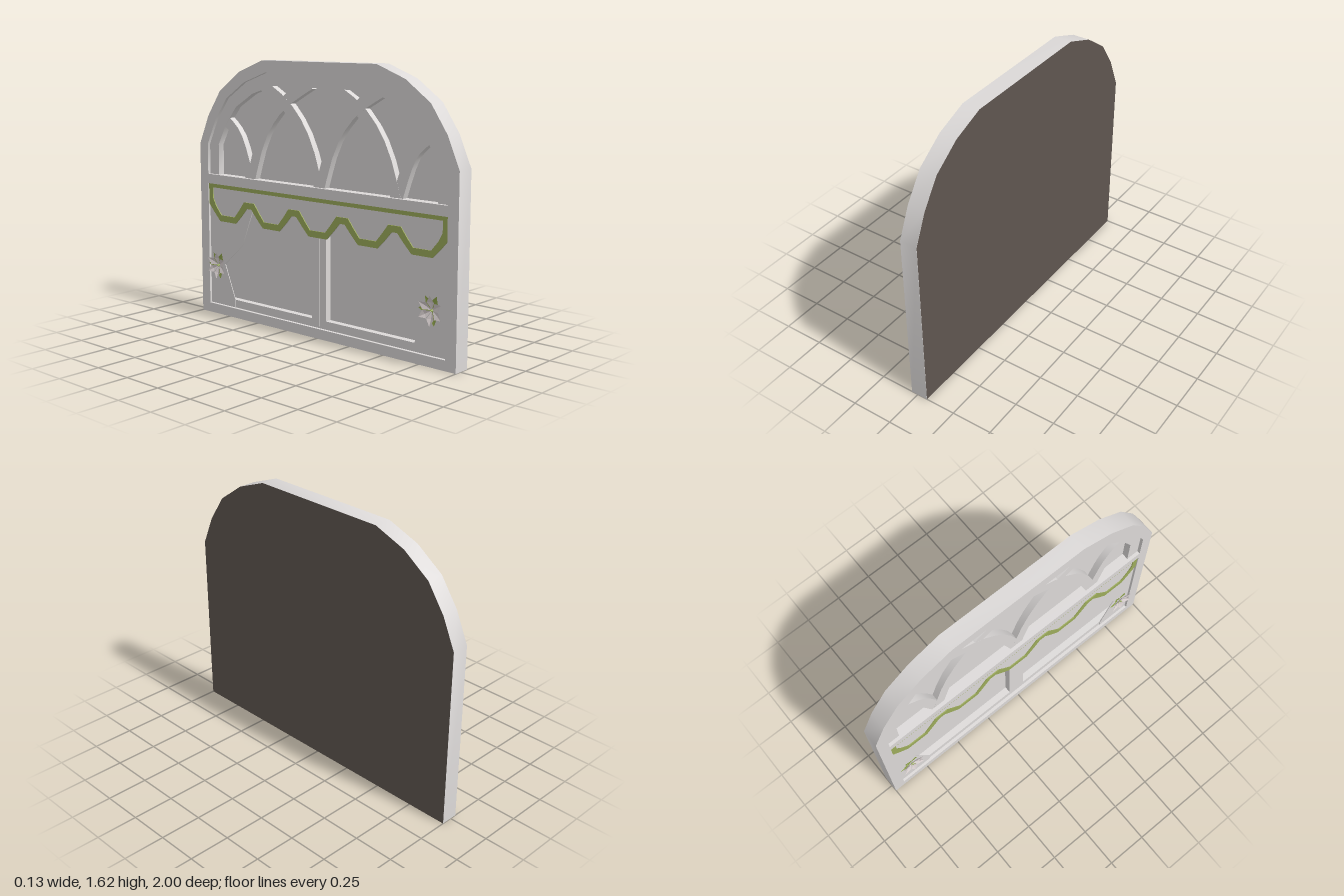
import * as THREE from 'three';
import { toCreasedNormals } from 'three/addons/utils/BufferGeometryUtils.js';

const mat = (name, color, side = THREE.FrontSide) => {
  const m = new THREE.MeshStandardMaterial({ color, side });
  m.name = name;
  return m;
};

// Depth levels along x; the detailed face looks toward -x
const FRONT = -0.042, SASH = -0.022, GLASS = 0.02, BACK = 0.064;

const v2 = (pts) => pts.map(([z, y]) => new THREE.Vector2(z, y));
const mirror = (pts) => pts.map(([z, y]) => [-z, y]);

function makeShape(outline, holes = []) {
  const s = new THREE.Shape(v2(outline));
  for (const h of holes) s.holes.push(new THREE.Path(v2(h)));
  return s;
}

// Flat part drawn in (z, y), spanning x from back to front
function plate(name, material, shape, back, front) {
  const geo = new THREE.ExtrudeGeometry(shape, { depth: back - front, bevelEnabled: false });
  const mesh = new THREE.Mesh(toCreasedNormals(geo, 0.6), material);
  mesh.rotation.y = -Math.PI / 2;
  mesh.position.x = back;
  mesh.name = name;
  return mesh;
}

// Arched outline, inset by t, starting at the given base height
function arch(t, base) {
  const half = [[1, 1.09], [0.92, 1.27], [0.81, 1.43], [0.64, 1.55], [0.44, 1.625]]
    .map(([z, y]) => [z * (1 - t), 1.09 + (y - 1.09) * (1 - t / 0.535)]);
  half.unshift([1 - t, base]);
  return [...half, ...mirror(half).reverse()];
}

const rect = (z0, y0, z1, y1) => [[z0, y0], [z1, y0], [z1, y1], [z0, y1]];

// Curved glazing bar: a ribbon of constant width along a path
function ribbon(path, width) {
  const pts = new THREE.SplineCurve(v2(path)).getPoints(8);
  const left = [], right = [];
  pts.forEach((p, i) => {
    const a = pts[Math.max(i - 1, 0)], b = pts[Math.min(i + 1, pts.length - 1)];
    const d = b.clone().sub(a).normalize().multiplyScalar(width / 2);
    left.push([p.x - d.y, p.y + d.x]);
    right.push([p.x + d.y, p.y - d.x]);
  });
  return makeShape([...right, ...left.reverse()]);
}

// Valance outline with five scallops
function valance(inset) {
  const edge = 0.93 - inset;
  const pts = [[edge, 0.84 - inset * 0.7], [-edge, 0.84 - inset * 0.7]];
  const scallop = [[-0.17, 0.71], [-0.125, 0.66], [-0.07, 0.605], [0.07, 0.605], [0.125, 0.66], [0.17, 0.71]];
  for (let k = -2; k <= 2; k++) {
    for (const [z, y] of scallop) {
      const zz = k * 0.38 + z * (1 - inset * 4);
      pts.push([THREE.MathUtils.clamp(zz, -edge, edge), y + inset * 1.1]);
    }
  }
  return pts;
}

// Folded pointed petals fanned around a centre; local z points outward
function petals(name, material, angles, length, width, lift, base) {
  const pos = [];
  for (const a of angles) {
    const p = (r, w, h) => [r * Math.cos(a) - w * Math.sin(a), r * Math.sin(a) + w * Math.cos(a), h];
    const root = p(0.004, 0, base), tip = p(length, 0, base + lift);
    const mid = p(length * 0.55, 0, base + lift * 0.35);
    for (const s of [-1, 1]) {
      const side = p(length * 0.55, s * width / 2, base + lift * 0.75);
      const tris = s < 0 ? [root, side, mid, side, tip, mid] : [root, mid, side, side, mid, tip];
      pos.push(...tris.flat());
    }
  }
  const g = new THREE.BufferGeometry();
  g.setAttribute('position', new THREE.Float32BufferAttribute(pos, 3));
  g.computeVertexNormals();
  const mesh = new THREE.Mesh(g, material);
  mesh.name = name;
  return mesh;
}

export function createModel() {
  const group = new THREE.Group();
  const white = mat('paleGrey', 0xdcd9d8);
  const dark = mat('darkBrown', 0x5f5650);
  const green = mat('oliveTrim', 0x9dac5c);
  const petalMat = mat('petal', 0xd8cfcf, THREE.DoubleSide);
  const leafMat = mat('leaf', 0x93a84e, THREE.DoubleSide);

  // Outer frame with a transom between the arched light and the lower casements
  const holes = [arch(0.07, 0.9), rect(-0.93, 0.06, 0.93, 0.84)];
  group.add(plate('outerFrame', white, makeShape(arch(0, 0), holes), BACK, FRONT));

  // Dark backing face
  const backing = new THREE.Mesh(new THREE.ShapeGeometry(makeShape(arch(0, 0))), dark);
  backing.rotation.y = Math.PI / 2;
  backing.position.x = BACK + 0.001;
  backing.name = 'backing';
  group.add(backing);

  // Recessed sash and the panes behind it
  const panes = [
    arch(0.15, 0.9),
    rect(-0.86, 0.11, -0.055, 0.78),
    rect(0.055, 0.11, 0.86, 0.78),
  ];
  group.add(plate('sash', white, makeShape(arch(0.065, 0.05), panes), 0.06, SASH));
  group.add(plate('panes', white, makeShape(arch(0.1, 0.06)), 0.06, GLASS));
  group.add(plate('meetingLine', white, makeShape(rect(-0.004, 0.07, 0.004, 0.82)), 0, SASH - 0.003));

  // Intersecting tracery: arcs spring both ways from each base point
  const long = [[0, 0.88], [0.1, 1.16], [0.26, 1.36], [0.5, 1.5]];
  const short = [[0, 0.88], [0.1, 1.14], [0.23, 1.26]];
  const arcs = [[0, 1, long], [0, -1, long], [0.57, -1, long], [-0.57, 1, long], [0.57, 1, short], [-0.57, -1, short]];
  arcs.forEach(([base, dir, path], i) => {
    const pts = path.map(([z, y]) => [base + dir * z, y]);
    group.add(plate('traceryBar', white, ribbon(pts, 0.07), 0.03, SASH + 0.001 + i * 0.0003));
  });

  // Curtains drawn back to the tiebacks
  const curtain = [[0.93, 0.062], [0.93, 0.8], [0.53, 0.8], [0.55, 0.69], [0.64, 0.47], [0.8, 0.33], [0.71, 0.11], [0.71, 0.062]];
  for (const c of [curtain, mirror(curtain)]) {
    group.add(plate('curtain', white, makeShape(c), SASH, SASH - 0.005));
  }

  // Scalloped valance with its trim
  group.add(plate('valance', white, makeShape(valance(0)), SASH, -0.03));
  group.add(plate('valanceTrim', green, makeShape(valance(0), [valance(0.035)]), -0.03, -0.036));

  // Flower tiebacks
  for (const s of [-1, 1]) {
    const flower = new THREE.Group();
    flower.name = 'flowerTieback';
    const six = Array.from({ length: 6 }, (_, i) => i * Math.PI / 3 + Math.PI / 6);
    flower.add(petals('petals', petalMat, six, 0.085, 0.05, 0.024, 0.014));
    flower.add(petals('leaves', leafMat, [1.2, 2.1, 3.1, 4.9], 0.088, 0.045, 0.01, 0.008));
    const heart = new THREE.Mesh(new THREE.ConeGeometry(0.01, 0.02, 6), leafMat);
    heart.rotation.x = Math.PI / 2;
    heart.position.z = 0.024;
    heart.name = 'flowerHeart';
    flower.add(heart);
    flower.rotation.y = -Math.PI / 2;
    flower.position.set(-0.03, 0.32, s * 0.84);
    group.add(flower);
  }
  return group;
}
